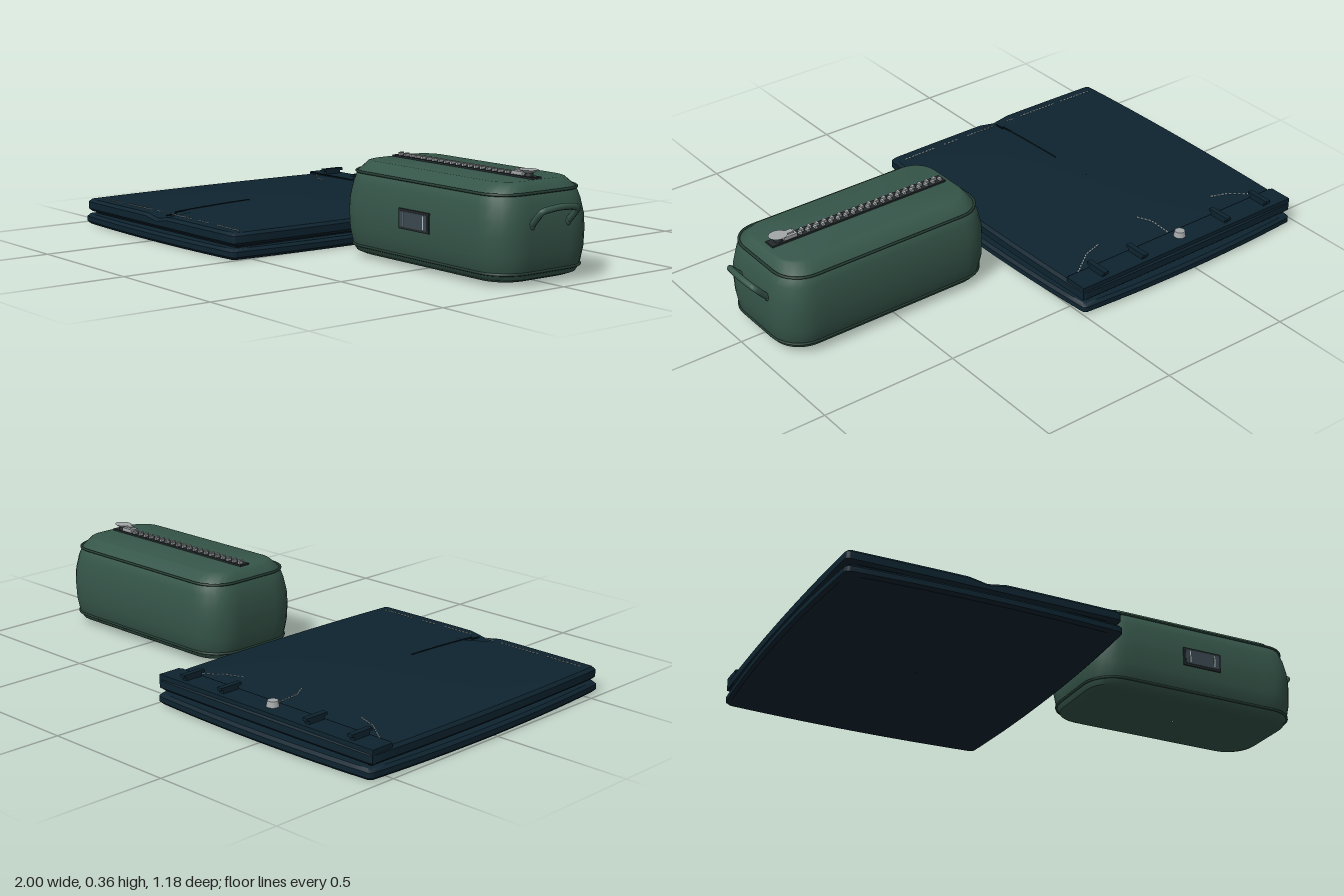
import * as THREE from 'three';
import { toCreasedNormals } from 'three/addons/utils/BufferGeometryUtils.js';

const mat = (name, color, side = THREE.FrontSide) => {
  const m = new THREE.MeshStandardMaterial({ color, side });
  m.name = name;
  return m;
};

// Rounded rectangle outline in the xz plane, sides bowed outwards by bx and bz
function outline([hx, hz, r, y], bx = 0, bz = 0) {
  const pts = [], arc = 6, side = 14;
  const corner = (k, t) => {
    const a = (k + t) * Math.PI / 2;
    const sx = k === 0 || k === 3 ? 1 : -1, sz = k < 2 ? -1 : 1;
    return new THREE.Vector3(sx * (hx - r) + r * Math.cos(a), y, sz * (hz - r) - r * Math.sin(a));
  };
  for (let k = 0; k < 4; k++) {
    for (let i = 0; i < arc; i++) pts.push(corner(k, i / arc));
    const a = corner(k, 1), b = corner((k + 1) % 4, 0);
    for (let i = 0; i < side; i++) pts.push(a.clone().lerp(b, i / side));
  }
  for (const p of pts) {
    const u = p.x / hx, v = p.z / hz;
    p.x *= 1 + bx * (1 - v * v);
    p.z *= 1 + bz * (1 - u * u);
  }
  return pts;
}

// Skin through stacked outlines, from bottom centre to top centre
function loft(rings, bx = 0, bz = 0, warp = null) {
  const pos = [], index = [];
  const loops = rings.map(r => outline(r, bx, bz));
  const n = loops[0].length;
  for (const loop of loops) for (const p of loop) {
    if (warp) warp(p);
    pos.push(p.x, p.y, p.z);
  }
  for (let i = 0; i < loops.length - 1; i++) for (let j = 0; j < n; j++) {
    const a = i * n + j, b = i * n + (j + 1) % n;
    index.push(a, b, b + n, a, b + n, a + n);
  }
  const g = new THREE.BufferGeometry();
  g.setAttribute('position', new THREE.Float32BufferAttribute(pos, 3));
  g.setIndex(index);
  return toCreasedNormals(g, 0.7);
}

// Soft flat slab with rounded edges and concentric rings on top
function slab(hx, hz, y0, y1, bx, bz, warp) {
  const e = 0.01, rings = [[0.002, 0.002, 0.001, y0], [hx - e, hz - e, 0.012, y0],
    [hx, hz, 0.015, y0 + e], [hx, hz, 0.015, y1 - e], [hx - e, hz - e, 0.012, y1]];
  for (const s of [0.95, 0.88, 0.78, 0.65, 0.5, 0.35, 0.2, 0.003]) rings.push([hx * s, hz * s, 0.012 * s, y1]);
  return loft(rings, bx, bz, warp);
}

export function createModel() {
  const root = new THREE.Group();
  const denim = mat('navy denim', 0x0e2430);
  const seam = mat('dark seam', 0x07151d);
  const thread = mat('pale thread', 0xb4c0c4);
  const metal = mat('metal', 0xa3a7a8);
  const canvas = mat('green canvas', 0x36564a);
  const piping = mat('dark green piping', 0x243c33);
  const tape = mat('zipper tape', 0x23292b);
  const patchMat = mat('slate patch', 0x3a4850);

  const add = (parent, name, geo, material, x = 0, y = 0, z = 0) => {
    const m = new THREE.Mesh(geo, material);
    m.name = name;
    m.position.set(x, y, z);
    parent.add(m);
    return m;
  };
  const box = (parent, name, material, w, h, d, x, y, z) =>
    add(parent, name, new THREE.BoxGeometry(w, h, d), material, x, y, z);

  // ---- Folded trousers ----
  const jeans = new THREE.Group();
  jeans.name = 'foldedTrousers';
  jeans.position.x = -0.487;
  root.add(jeans);
  const rise = (x, z) => 0.02 * Math.max(0, 1 - (x / 0.5) ** 2) * Math.max(0, 1 - (z / 0.57) ** 2);
  const top = (x, z) => 0.095 + rise(x, z);
  add(jeans, 'lowerLayer', slab(0.485, 0.572, 0.003, 0.041, 0.052, 0.032), denim);
  box(jeans, 'innerFold', seam, 0.92, 0.02, 1.08, 0, 0.045, 0);
  add(jeans, 'upperLayer', slab(0.484, 0.566, 0.05, 0.095, 0.025, 0.005, p => {
    if (p.y < 0.08) return;
    p.y += rise(p.x, p.z);
    // Dip between the two leg ends
    if (p.z > 0.5) p.y -= 0.012 * Math.exp(-((p.x / 0.035) ** 2));
  }), denim);

  // Waistband, belt loops and button
  box(jeans, 'waistband', denim, 0.968, 0.048, 0.088, 0, 0.081, -0.519);
  box(jeans, 'waistbandSeam', seam, 0.95, 0.004, 0.005, 0, 0.103, -0.473);
  for (const x of [-0.382, -0.19, 0.2, 0.378]) {
    box(jeans, 'beltLoopBase', denim, 0.018, 0.022, 0.07, x, 0.11, -0.51);
    box(jeans, 'beltLoop', denim, 0.02, 0.01, 0.092, x, 0.122, -0.51);
  }
  add(jeans, 'button', new THREE.CylinderGeometry(0.018, 0.022, 0.02, 24), metal, 0, 0.115, -0.508);

  // Dashed stitching that follows the cloth
  const stitch = (name, pts, step = 0.016) => {
    for (let i = 0; i < pts.length - 1; i++) {
      const [x0, z0] = pts[i], [x1, z1] = pts[i + 1];
      const len = Math.hypot(x1 - x0, z1 - z0), n = Math.round(len / step);
      for (let k = 0; k < n; k++) {
        const t = (k + 0.5) / n, x = x0 + (x1 - x0) * t, z = z0 + (z1 - z0) * t;
        box(jeans, name, thread, step * 0.6, 0.003, 0.004, x, top(x, z) + 0.001, z)
          .rotation.y = -Math.atan2(z1 - z0, x1 - x0);
      }
    }
  };
  for (const s of [-1, 1]) stitch('pocketStitch', [[s * 0.43, -0.468], [s * 0.335, -0.4], [s * 0.265, -0.38]]);
  stitch('flyStitch', [[0.017, -0.468], [0.017, -0.38], [0.045, -0.33]]);
  for (const [a, b] of [[-0.45, -0.3], [-0.27, -0.1], [-0.07, -0.03], [0.03, 0.16], [0.2, 0.27], [0.31, 0.45]])
    stitch('hemStitch', [[a, 0.52], [b, 0.52]]);

  // Seam between the legs
  for (let i = 0; i < 18; i++) {
    const z = 0.18 + i * 0.02;
    box(jeans, 'legSeam', seam, 0.005, 0.004, 0.021, 0.007, top(0, z) - (z > 0.48 ? 0.006 : 0), z);
  }

  // ---- Zipped pouch ----
  const pouch = new THREE.Group();
  pouch.name = 'pouch';
  pouch.position.x = 0.52;
  root.add(pouch);
  add(pouch, 'pouchBody', loft([
    [0.002, 0.002, 0.001, 0.014], [0.375, 0.168, 0.09, 0.014], [0.4, 0.188, 0.1, 0.024],
    [0.411, 0.2, 0.11, 0.045], [0.418, 0.21, 0.112, 0.1], [0.42, 0.213, 0.113, 0.16],
    [0.417, 0.211, 0.112, 0.21], [0.408, 0.202, 0.11, 0.26], [0.393, 0.191, 0.1, 0.296],
    [0.37, 0.152, 0.08, 0.328], [0.36, 0.144, 0.075, 0.331], [0.002, 0.002, 0.001, 0.331]]), canvas);
  for (const ring of [[0.395, 0.192, 0.1, 0.296], [0.411, 0.2, 0.11, 0.045]])
    add(pouch, 'piping', new THREE.TubeGeometry(
      new THREE.CatmullRomCurve3(outline(ring), true), 160, 0.005, 6, true), piping);

  // Zipper with two rows of alternating teeth
  box(pouch, 'zipperTape', tape, 0.7, 0.008, 0.042, 0, 0.333, 0);
  for (let i = 0; i < 40; i++)
    box(pouch, 'zipperTooth', metal, 0.009, 0.009, 0.017, -0.335 + i * 0.015, 0.341, i % 2 ? 0.007 : -0.007);
  box(pouch, 'zipperSlider', metal, 0.05, 0.012, 0.034, 0.275, 0.344, 0);
  add(pouch, 'pullStem', new THREE.CylinderGeometry(0.012, 0.016, 0.016, 16), tape, 0.315, 0.342, 0);
  const pull = add(pouch, 'zipperPull', new THREE.CylinderGeometry(0.029, 0.015, 0.01, 20), metal, 0.315, 0.353, 0);
  pull.scale.x = 1.15;
  box(pouch, 'pullTab', metal, 0.06, 0.005, 0.02, 0.29, 0.355, 0);

  // Carry loop on the end
  const path = new THREE.CatmullRomCurve3([
    [0.405, 0.19, 0.078], [0.43, 0.215, 0.08], [0.458, 0.246, 0.076], [0.464, 0.252, 0.055], [0.469, 0.257, 0],
    [0.464, 0.252, -0.055], [0.458, 0.246, -0.076], [0.43, 0.215, -0.08], [0.405, 0.19, -0.078]
  ].map(p => new THREE.Vector3(...p)));
  add(pouch, 'carryLoop', new THREE.TubeGeometry(path, 48, 0.011, 8), canvas);
  for (const s of [-1, 1]) {
    const foot = add(pouch, 'loopFoot', new THREE.SphereGeometry(0.013, 12, 8), canvas, 0.412, 0.197, s * 0.078);
    foot.scale.y = 1.2;
  }

  // Front patch with two stitched bars
  box(pouch, 'patchBorder', tape, 0.152, 0.068, 0.012, 0, 0.172, 0.211);
  box(pouch, 'patch', patchMat, 0.136, 0.052, 0.006, 0, 0.172, 0.216);
  for (const s of [-1, 1]) box(pouch, 'patchStitch', thread, 0.004, 0.044, 0.003, s * 0.05, 0.172, 0.219);

  return root;
}
